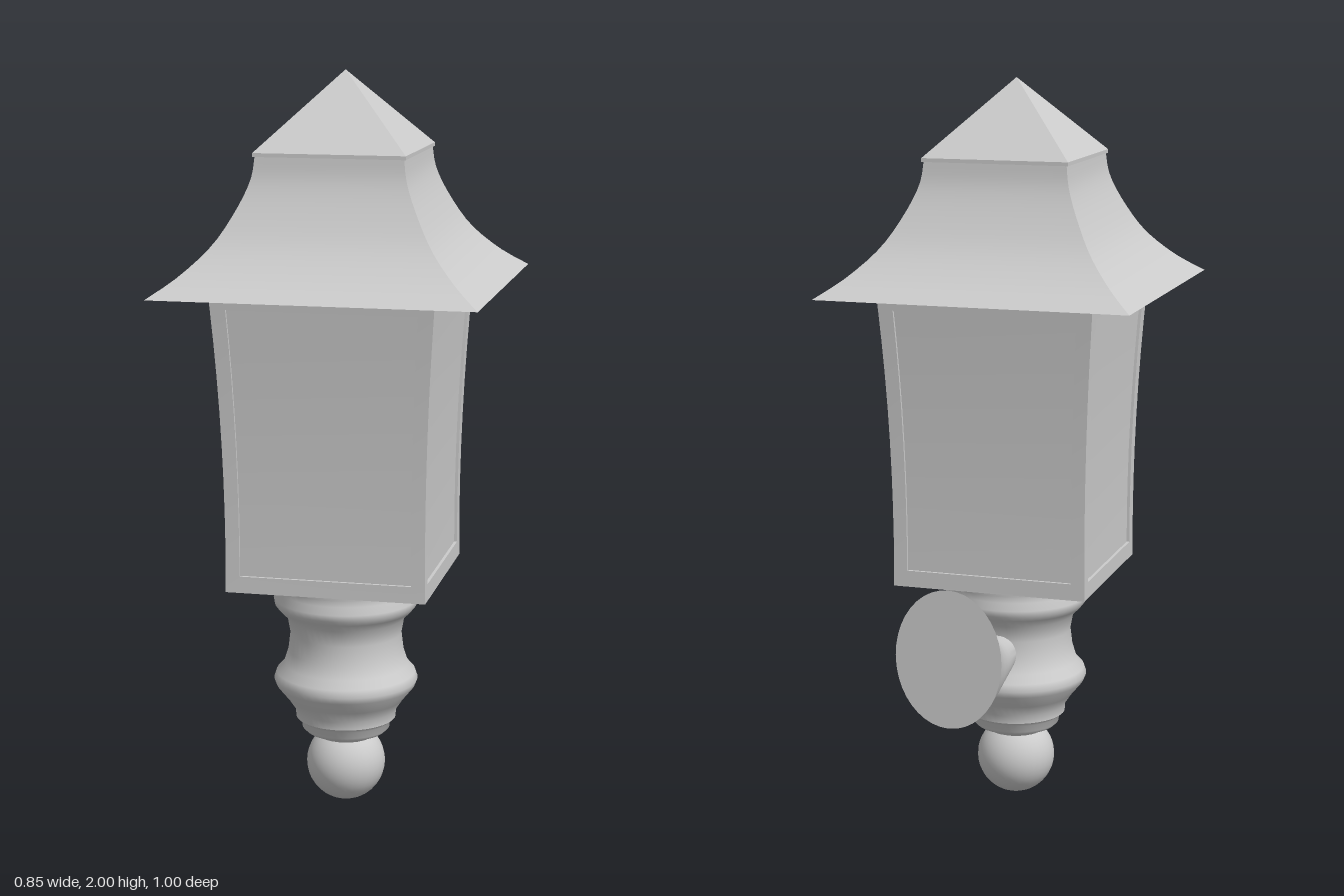
import * as THREE from 'three';
import { toCreasedNormals } from 'three/addons/utils/BufferGeometryUtils.js';

const material = new THREE.MeshStandardMaterial({ color: 0xcccccc });

// Skin a stack of equal-length closed rings and cap both ends
function loft(rings, crease) {
  const n = rings[0].length;
  const pts = rings.flat();
  const index = [];
  for (let i = 0; i < rings.length - 1; i++) {
    for (let j = 0; j < n; j++) {
      const a = i * n + j, b = i * n + (j + 1) % n;
      index.push(a, b, b + n, a, b + n, a + n);
    }
  }
  [0, rings.length - 1].forEach((r, end) => {
    const centre = new THREE.Vector3();
    rings[r].forEach((p) => centre.addScaledVector(p, 1 / n));
    const c = pts.push(centre) - 1;
    for (let j = 0; j < n; j++) {
      const a = r * n + j, b = r * n + (j + 1) % n;
      index.push(c, ...(end ? [a, b] : [b, a]));
    }
  });
  const geometry = new THREE.BufferGeometry().setFromPoints(pts);
  geometry.setIndex(index);
  return toCreasedNormals(geometry, crease);
}

// Square ring of half width w at height y
const square = (w, y) => [[-1, 1], [1, 1], [1, -1], [-1, -1]]
  .map(([x, z]) => new THREE.Vector3(x * w, y, z * w));

// Housing ring: four sides, each with a pane set back by depth
function housingRing(y, depth) {
  const t = (y - 0.645) / 0.8;
  const w = 0.256 + 0.039 * t * t;
  const wx = w + 0.012 * (1 - t);
  const f = 0.86;
  const ring = [];
  for (let side = 0; side < 4; side++) {
    const across = side % 2 ? w : wx, out = side % 2 ? wx : w;
    for (const [u, d] of [[-1, 0], [-f, 0], [-f, depth], [f, depth], [f, 0]]) {
      ring.push(new THREE.Vector3(u * across, y, out - d)
        .applyAxisAngle(new THREE.Vector3(0, 1, 0), side * Math.PI / 2));
    }
  }
  return ring;
}

export function createModel() {
  const model = new THREE.Group();
  const lantern = new THREE.Group();
  lantern.name = 'lantern';
  lantern.position.z = 0.075;
  model.add(lantern);

  const add = (parent, name, geometry) => {
    const mesh = new THREE.Mesh(geometry, material);
    mesh.name = name;
    parent.add(mesh);
  };

  // Pyramid cap
  add(lantern, 'roofCap', loft([square(0.2, 1.788), square(0.2, 1.798), square(0.0005, 2)], 0.5));

  // Flared roof
  const roofCurve = new THREE.SplineCurve([
    [0.425, 1.445], [0.355, 1.497], [0.285, 1.57], [0.235, 1.655], [0.204, 1.73], [0.195, 1.79],
  ].map(([w, y]) => new THREE.Vector2(w, y)));
  add(lantern, 'roof', loft(roofCurve.getPoints(16).map((p) => square(p.x, p.y)), 0.6));

  // Tapered housing with recessed panes
  const depth = 0.008, low = 0.69, high = 1.405;
  const rings = [housingRing(0.645, 0), housingRing(low, 0)];
  for (let i = 0; i <= 8; i++) rings.push(housingRing(low + (high - low) * i / 8, depth));
  rings.push(housingRing(high, 0), housingRing(1.446, 0));
  add(lantern, 'housing', loft(rings, 0.6));

  // Turned base
  const base = [
    [0.065, 0.165], [0.08, 0.19], [0.11, 0.2], [0.12, 0.21], [0.122, 0.228], [0.137, 0.24],
    [0.138, 0.262], [0.16, 0.295], [0.19, 0.332], [0.197, 0.35], [0.19, 0.37], [0.17, 0.392],
    [0.158, 0.43], [0.152, 0.48], [0.16, 0.525], [0.183, 0.548], [0.194, 0.562], [0.197, 0.58],
    [0.185, 0.6], [0.187, 0.62], [0.21, 0.624], [0.212, 0.646],
  ].map(([r, y]) => new THREE.Vector2(r, y));
  add(lantern, 'base', toCreasedNormals(new THREE.LatheGeometry(base, 48), 0.8));

  // Ball finial
  const ball = new THREE.SphereGeometry(0.108, 32, 20);
  ball.translate(0, 0.108, 0);
  add(lantern, 'finial', ball);

  // Wall arm: z, bottom, top, half width of each oval section
  const sections = [
    [0.0, 0.4, 0.487, 0.044], [-0.085, 0.388, 0.498, 0.052], [-0.15, 0.378, 0.513, 0.06],
    [-0.2, 0.372, 0.532, 0.068], [-0.3, 0.367, 0.588, 0.09], [-0.4, 0.367, 0.66, 0.115],
    [-0.5, 0.37, 0.74, 0.143],
  ];
  add(model, 'wallArm', loft(sections.map(([z, bottom, top, half]) =>
    Array.from({ length: 40 }, (_, j) => {
      const a = j / 40 * Math.PI * 2;
      return new THREE.Vector3(0.005 + Math.sin(a) * half,
        (bottom + top) / 2 + Math.cos(a) * (top - bottom) / 2, z);
    })), 0.7));

  return model;
}
